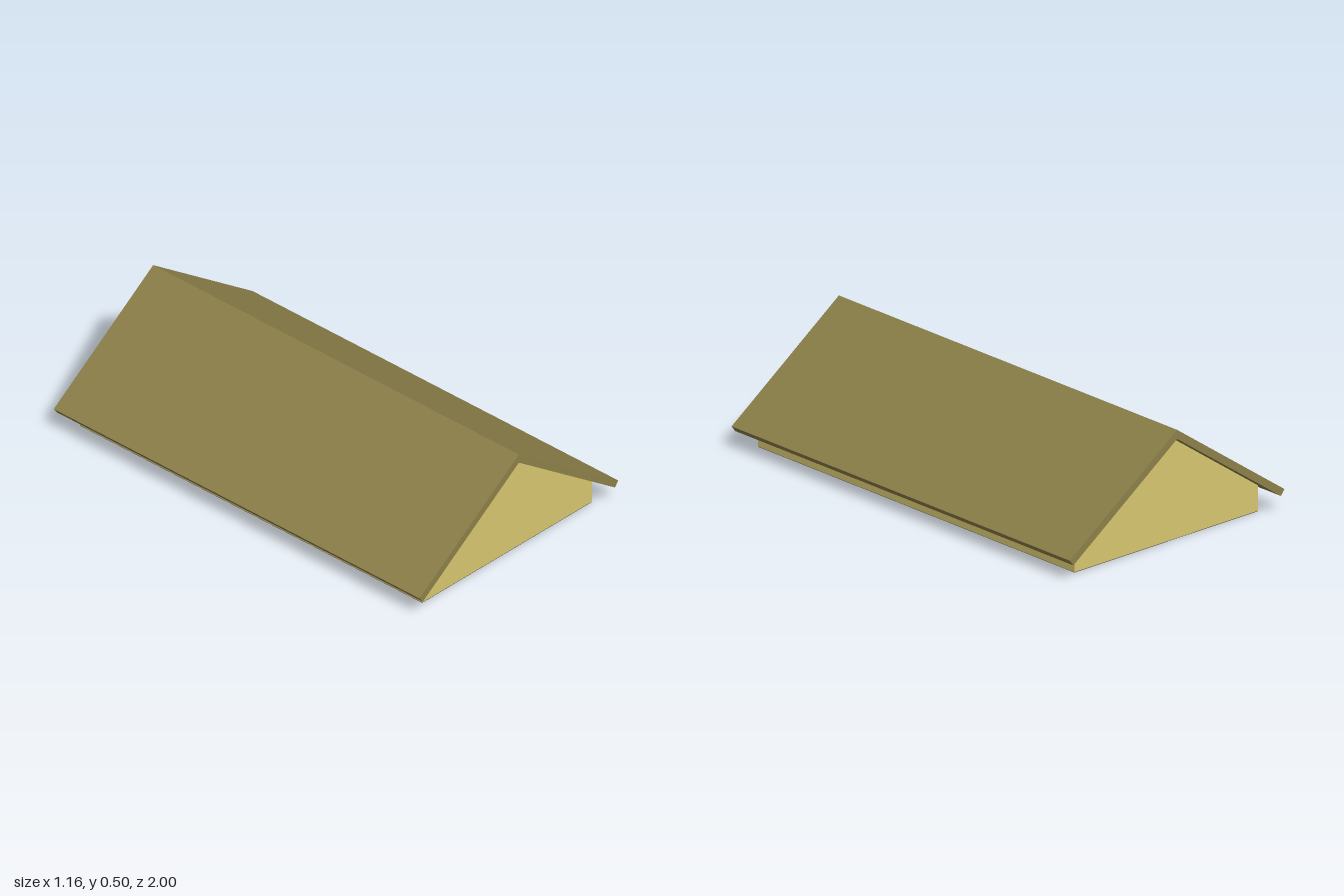
import * as THREE from 'three';

// Extrude a front outline along z, centred on z = 0
function prism(name, points, length, color) {
  const shape = new THREE.Shape(points.map(([x, y]) => new THREE.Vector2(x, y)));
  const geometry = new THREE.ExtrudeGeometry(shape, { depth: length, bevelEnabled: false });
  geometry.translate(0, 0, -length / 2);
  const mesh = new THREE.Mesh(geometry, new THREE.MeshStandardMaterial({ color, flatShading: true }));
  mesh.name = name;
  return mesh;
}

export function createModel() {
  const group = new THREE.Group();
  group.name = 'gableRoof';

  const halfWidth = 0.497, wallLength = 1.87, wallTop = 0.112, base = 0.002;

  // Gable ends and low side walls in one solid
  group.add(prism('gableWalls', [
    [-halfWidth, base], [halfWidth, base], [halfWidth, wallTop],
    [0, 0.46], [-halfWidth, wallTop],
  ], wallLength, 0xd8c670));

  // Two sloping slabs with square-cut eaves, meeting at the ridge
  group.add(prism('roof', [
    [0, 0.5], [-0.582, 0.092], [-0.563, 0.067],
    [0, 0.461], [0.563, 0.067], [0.582, 0.092],
  ], 2, 0x8c8049));

  // Dark underside
  const floor = new THREE.Mesh(
    new THREE.PlaneGeometry(halfWidth * 2, wallLength).rotateX(Math.PI / 2),
    new THREE.MeshStandardMaterial({ color: 0x444444, side: THREE.DoubleSide }),
  );
  floor.name = 'underside';
  group.add(floor);

  return group;
}
